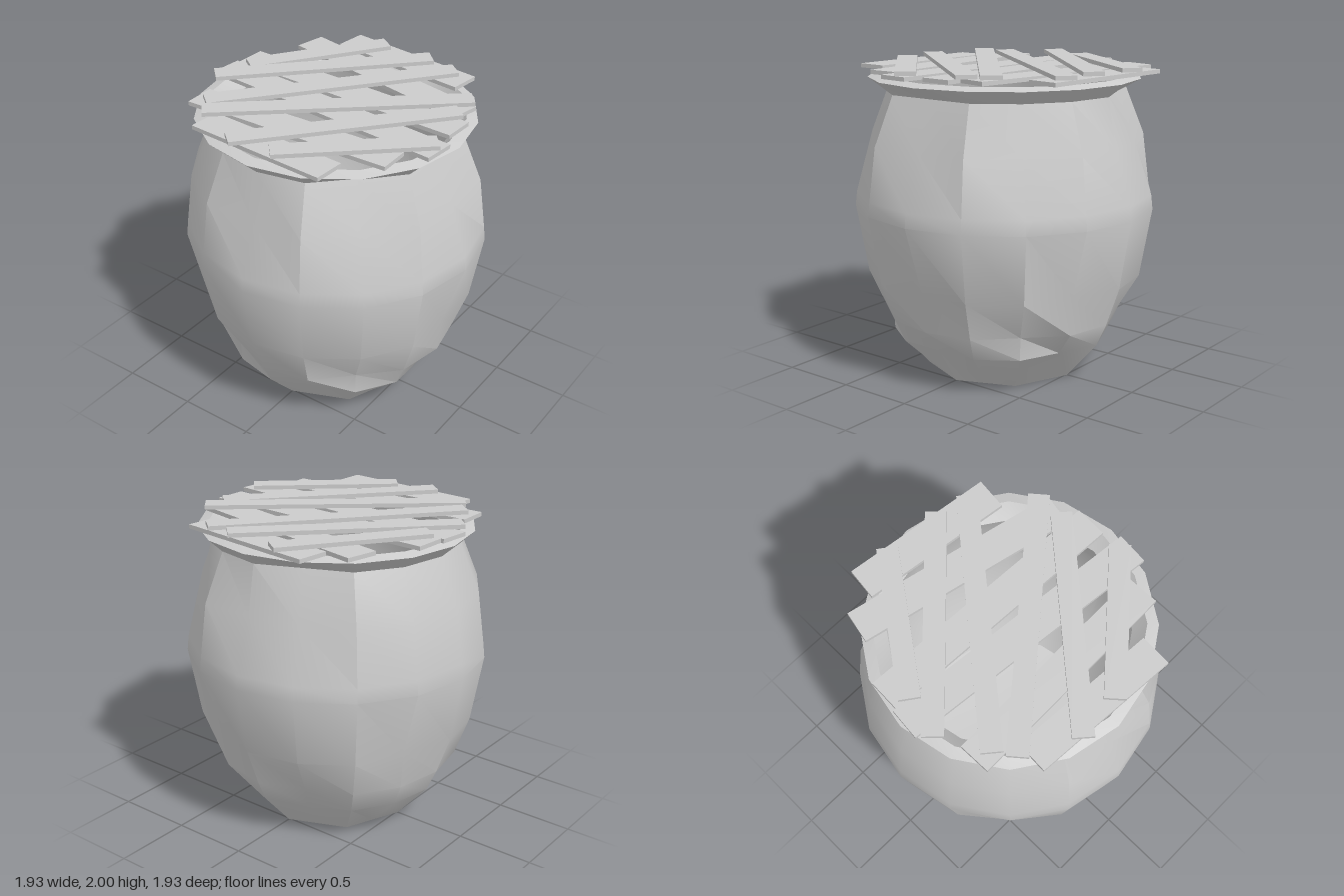
import * as THREE from 'three';
import { toCreasedNormals } from 'three/addons/utils/BufferGeometryUtils.js';

const SIDES = 16;
const material = new THREE.MeshStandardMaterial({ color: 0xcccccc });

// Profile rings [radius, height]: base, outer wall, flared lip, inner wall, floor
const PROFILE = [
  [0, 0], [0.51, 0], [0.73, 0.25], [0.8, 0.4], [0.89, 0.65], [0.965, 1.09], [0.955, 1.18],
  [0.91, 1.52], [0.785, 1.83], [0.87, 1.91], [0.8, 1.93], [0.72, 1.84], [0.83, 1.5],
  [0.88, 1.1], [0.78, 0.6], [0.6, 0.2], [0, 0.12],
];

// Chipped facets: ring number -> segments pulled in to the chord of their neighbours
const CHIPS = {
  1: [1, 3, 5, 7, 9, 11, 13, 15],
  2: [0, 3, 5, 9, 13],
  3: [2, 5, 11, 14],
  4: [0, 3, 7, 10],
  7: [0, 2, 4, 5, 12, 14],
  8: [0, 5, 14],
};

function buildPot() {
  const points = PROFILE.map(([r, y]) => new THREE.Vector2(r, y));
  const geometry = new THREE.LatheGeometry(points, SIDES);
  const position = geometry.attributes.position;
  const chord = Math.cos((Math.PI * 2) / SIDES);
  for (let i = 0; i < position.count; i++) {
    const ring = i % PROFILE.length;
    const segment = Math.floor(i / PROFILE.length) % SIDES;
    const k = CHIPS[ring]?.includes(segment) ? chord : 1;
    position.setX(i, position.getX(i) * k);
    position.setZ(i, position.getZ(i) * k);
  }
  const mesh = new THREE.Mesh(toCreasedNormals(geometry, 0.5), material);
  mesh.name = 'pot';
  return mesh;
}

// Flat strip between two points [x1, z1, x2, z2] at height y
function buildSlat([x1, z1, x2, z2], width, y, thickness, name) {
  const dx = x2 - x1, dz = z2 - z1;
  const mesh = new THREE.Mesh(new THREE.BoxGeometry(width, thickness, Math.hypot(dx, dz)), material);
  mesh.position.set((x1 + x2) / 2, y, (z1 + z2) / 2);
  mesh.rotation.y = Math.atan2(dx, dz);
  mesh.name = name;
  return mesh;
}

// Wide strips lying on the lip
const LOWER = [
  [-0.66, -0.49, -0.72, 0.465],
  [-0.44, -0.72, -0.41, 0.69],
  [-0.02, -0.855, -0.185, 0.845],
  [0.18, -0.82, 0.11, 0.8],
  [0.6, -0.645, 0.31, 0.72],
  [0.78, -0.44, 0.665, 0.515],
];

// Narrower diagonal strips across them
const UPPER = [
  [0.06, -0.735, 0.835, -0.18],
  [-0.195, -0.8, 0.8, 0.185],
  [-0.49, -0.63, 0.75, 0.395],
  [-0.61, -0.55, 0.445, 0.7],
  [-0.79, -0.21, 0.27, 0.71],
  [-0.76, 0.08, -0.125, 0.8],
];

export function createModel() {
  const model = new THREE.Group();
  model.name = 'coveredPot';
  model.add(buildPot());

  const lattice = new THREE.Group();
  lattice.name = 'latticeCover';
  LOWER.forEach((s, i) => lattice.add(buildSlat(s, 0.205, 1.953, 0.026, `lowerSlat${i + 1}`)));
  UPPER.forEach((s, i) => {
    const lift = i === 1 || i === 3 ? 0.008 : 0;
    lattice.add(buildSlat(s, 0.13, 1.979 + lift, 0.026, `upperSlat${i + 1}`));
  });
  model.add(lattice);
  return model;
}
